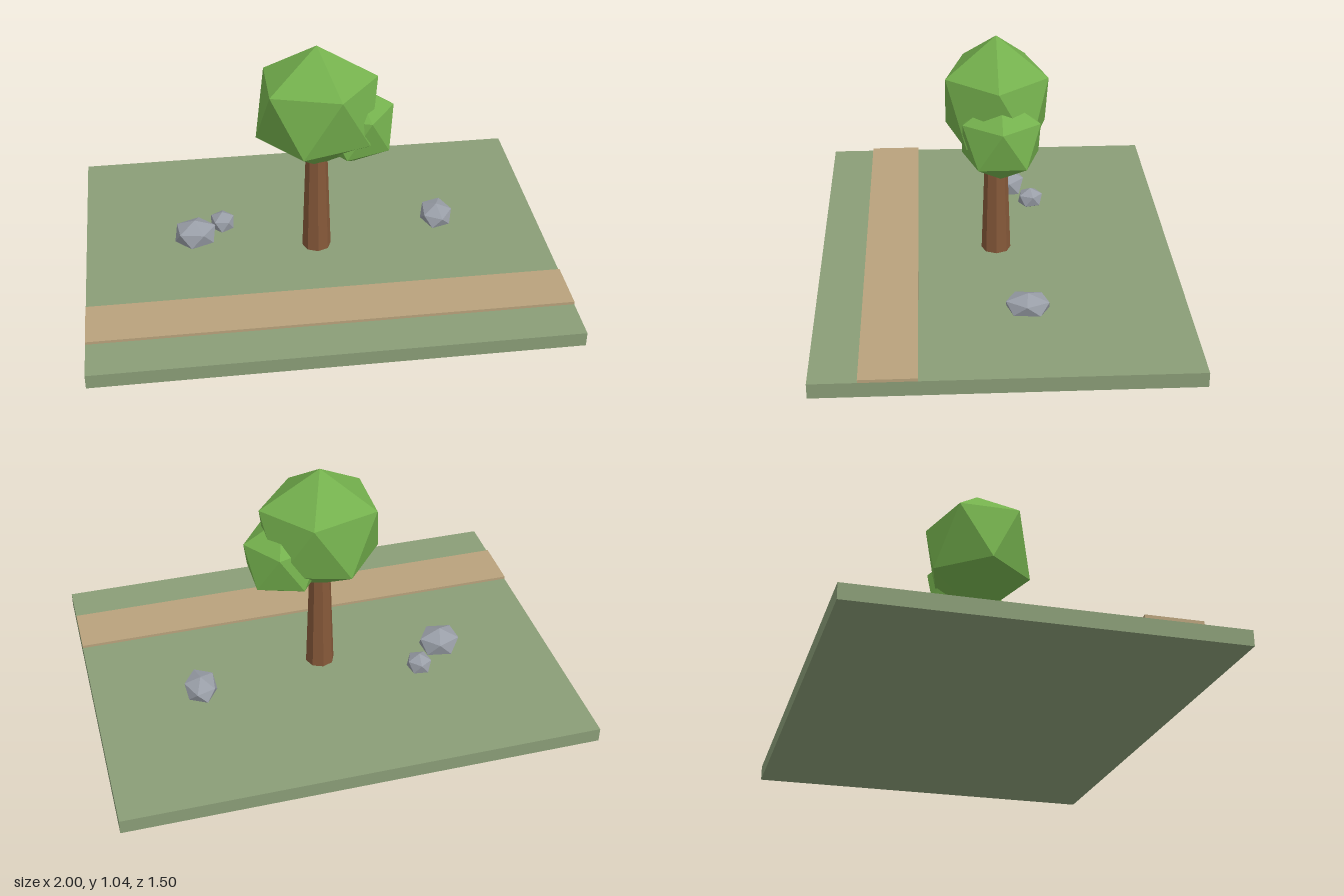
import * as THREE from 'three';

const flat = (name, color) => new THREE.MeshStandardMaterial({ name, color, flatShading: true });

export function createModel() {
  const grass = flat('grass green', 0x8a9d77);
  const dirt = flat('path tan', 0xb9a27c);
  const bark = flat('bark brown', 0x855839);
  const leaf = flat('leaf green', 0x74b04d);
  const stone = flat('stone grey', 0x999ea7);

  const model = new THREE.Group();
  model.name = 'treeScene';

  const add = (parent, name, geometry, material, x, y, z) => {
    const mesh = new THREE.Mesh(geometry, material);
    mesh.name = name;
    mesh.position.set(x, y, z);
    parent.add(mesh);
    return mesh;
  };

  // Twenty-sided ball standing on a corner, with an upper-ring corner at +x
  const ball = new THREE.IcosahedronGeometry(1, 0);
  ball.rotateZ(-Math.atan(2 / (1 + Math.sqrt(5))));
  const addBall = (parent, name, material, [x, y, z], [sx, sy, sz], turn = 0) => {
    const mesh = add(parent, name, ball, material, x, y, z);
    mesh.scale.set(sx, sy, sz);
    mesh.rotation.y = turn;
  };

  // Ground slab and the path lying on it
  const groundTop = 0.0625;
  add(model, 'ground', new THREE.BoxGeometry(2, groundTop, 1.5), grass, 0, groundTop / 2, 0);
  add(model, 'path', new THREE.BoxGeometry(2, 0.0125, 0.225), dirt, 0, groundTop + 0.00625, 0.45);

  // Tree: tapered trunk with a large and a small crown
  const tree = new THREE.Group();
  tree.name = 'tree';
  model.add(tree);
  add(tree, 'trunk', new THREE.CylinderGeometry(0.045, 0.0625, 0.5, 8), bark, 0, groundTop + 0.25, 0);
  addBall(tree, 'mainCrown', leaf, [0, 0.755, 0], [0.285, 0.285, 0.247]);
  addBall(tree, 'sideCrown', leaf, [0.16, 0.655, -0.0125], [0.185, 0.185, 0.185]);

  // Squashed rocks, partly sunk in the ground
  const rocks = new THREE.Group();
  rocks.name = 'rocks';
  model.add(rocks);
  addBall(rocks, 'largeRock', stone, [-0.525, 0.11, -0.075], [0.1, 0.067, 0.087], 0.1);
  addBall(rocks, 'smallRock', stone, [-0.4, 0.09, -0.177], [0.058, 0.05, 0.062], 0.2);
  addBall(rocks, 'rightRock', stone, [0.55, 0.105, -0.1], [0.077, 0.05, 0.102], -0.1);

  return model;
}
